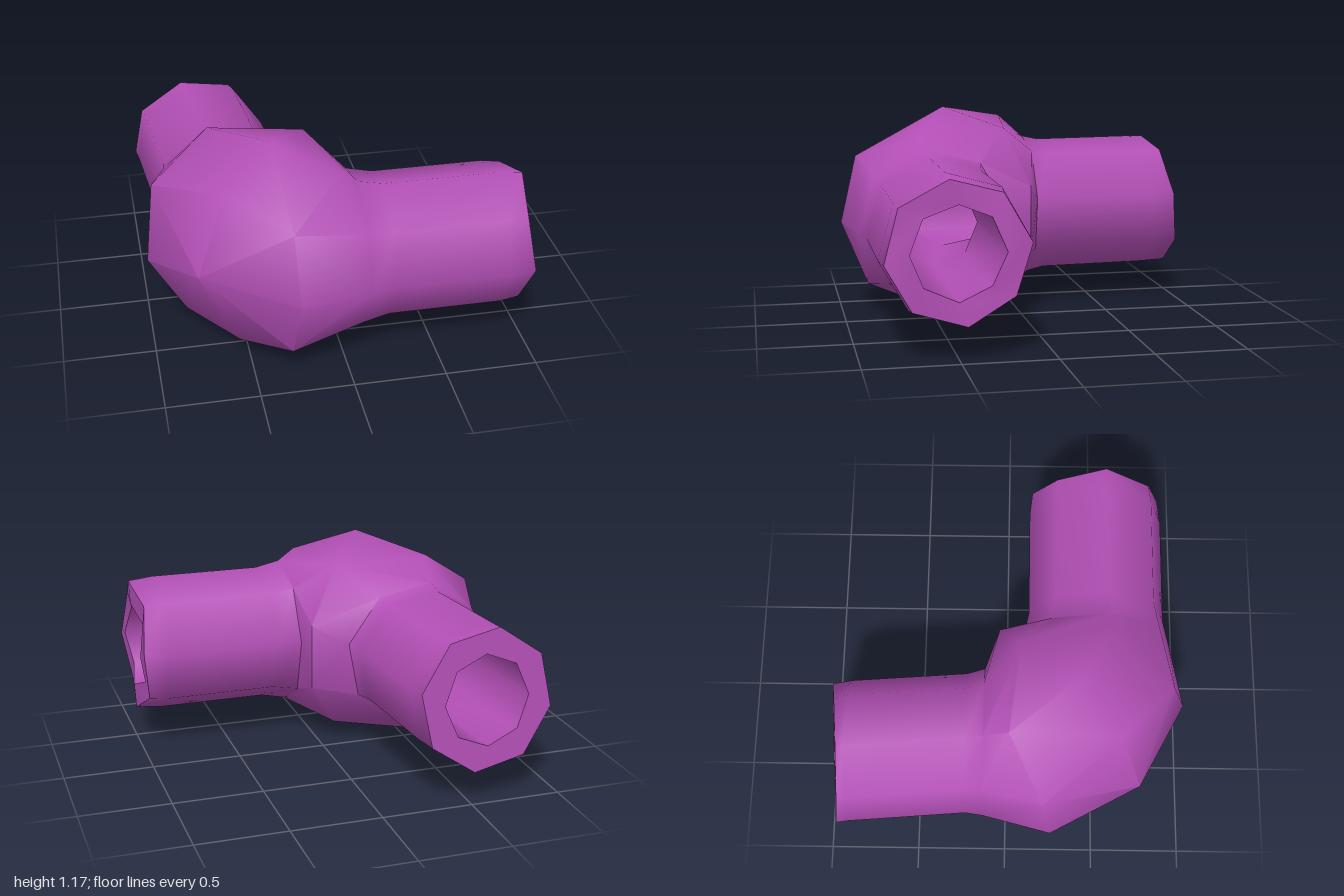
import * as THREE from 'three';
import { mergeGeometries, toCreasedNormals } from 'three/addons/utils/BufferGeometryUtils.js';
import { ConvexGeometry } from 'three/addons/geometries/ConvexGeometry.js';

const SIDES = 8;
const CY = 0.56;

// Octagonal ring; place(s, y, j) maps sideways offset and height to a point
function ring(r, phase, place) {
  return Array.from({ length: SIDES }, (_, j) => {
    const a = phase + (j * Math.PI * 2) / SIDES;
    return place(r * Math.sin(a), CY + r * Math.cos(a), j);
  });
}
const V = (x, y, z) => new THREE.Vector3(x, y, z);

// Ring of the side arm (along +x) and of the rear arm (along -z, slightly slanted)
const sideRing = (x, r, phase = 0.12) => ring(r, phase, (s, y) => V(x, y, 0.51 + s));
const rearX = (z) => -0.515 + 0.08 * (z + 0.12);
const rearRing = (z, r, phase = 0.21) => ring(r, phase, (s, y) => V(rearX(z) - s, y, z));

// Uneven cut ends
const sideEnd = (r, phase = 0.12) =>
  ring(r, phase, (s, y, j) => V(j % 2 ? 0.965 : 1, y, 0.51 + s));
const rearEnd = (r, phase = 0.21) =>
  ring(r, phase, (s, y) => V(-0.59 - s, y, -0.95 + 0.08 * s + 0.12 * (y - CY)));

// Skin a list of rings
function loft(rings) {
  const pos = [];
  for (let i = 0; i < rings.length - 1; i++) {
    for (let j = 0; j < SIDES; j++) {
      const k = (j + 1) % SIDES;
      const [a, b, c, d] = [rings[i][j], rings[i][k], rings[i + 1][j], rings[i + 1][k]];
      for (const p of [a, b, c, b, d, c]) pos.push(p.x, p.y, p.z);
    }
  }
  const geo = new THREE.BufferGeometry();
  geo.setAttribute('position', new THREE.Float32BufferAttribute(pos, 3));
  return geo;
}

// Faceted bulb with open ports where the arms attach
function bulb(sidePort, rearPort) {
  const points = [
    [-1, 0.43, 0.25], [-0.95, 0.87, 0.2], [-0.8, 0.09, 0.25],      // outer flank
    [-0.62, 1.09, 0.02], [-0.33, 1.17, 0.4], [0, 1.04, 0.58],      // crown
    [-0.61, 1.0, 0.62], [-0.1, 1.06, 0.08],
    [-0.33, 0, 0.31], [-0.08, 0.04, 0.5], [-0.5, 0.04, 0.03],      // underside
    [-0.55, 0.1, 0.62], [-0.1, 0.1, 0.1],
    [-0.77, 0.6, 0.74], [-0.28, 0.52, 1],                          // outer corner
    [-0.3, 0.9, 0.91], [-0.3, 0.15, 0.85],
    [0.08, 0.75, -0.04], [0.08, 0.38, -0.04],                      // inner corner
  ].map((p) => V(...p));
  const hull = new ConvexGeometry([...points, ...sidePort, ...rearPort]);
  const p = hull.attributes.position;
  const kept = [];
  for (let i = 0; i < p.count; i += 3) {
    const ids = [i, i + 1, i + 2];
    const inPort = ids.every((n) => p.getX(n) > 0.095) || ids.every((n) => p.getZ(n) < -0.115);
    if (!inPort) for (const n of ids) kept.push(p.getX(n), p.getY(n), p.getZ(n));
  }
  const geo = new THREE.BufferGeometry();
  geo.setAttribute('position', new THREE.Float32BufferAttribute(kept, 3));
  return geo;
}

export function createModel() {
  const group = new THREE.Group();
  group.name = 'pipeElbow';

  const sidePort = sideRing(0.1, 0.42);
  const rearPort = rearRing(-0.12, 0.41);

  // One skin: out along the side arm, through the bore, back over the rear arm
  const pipe = loft([
    sidePort, sideRing(0.24, 0.39), sideRing(0.86, 0.39), sideEnd(0.375),
    sideEnd(0.245, 0), sideRing(0.1, 0.24, 0),
    ring(0.22, 0, (s, y) => V(-0.4 - s, y, 0.4 + s)),
    rearRing(-0.1, 0.24, 0), rearEnd(0.245, 0),
    rearEnd(0.385), rearRing(-0.86, 0.39), rearRing(-0.22, 0.388), rearPort,
  ]);

  const geometry = toCreasedNormals(mergeGeometries([bulb(sidePort, rearPort), pipe]), 0.9);
  const joint = new THREE.Mesh(geometry, new THREE.MeshStandardMaterial({ color: 0xb24fb5 }));
  joint.name = 'elbowJoint';
  group.add(joint);
  return group;
}
